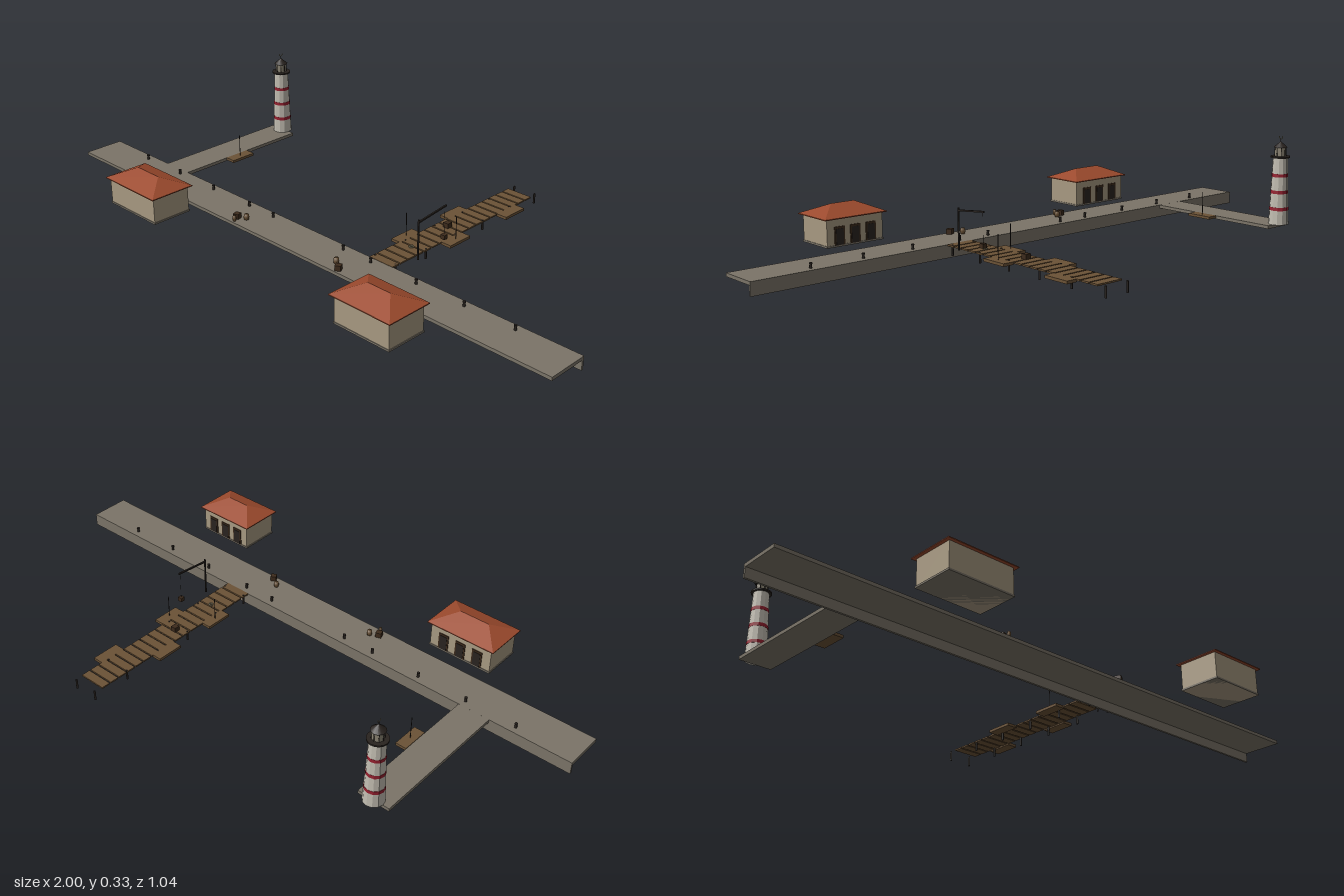
import * as THREE from 'three';

const mat = (name, color, extra = {}) => {
  const m = new THREE.MeshStandardMaterial({ color, ...extra });
  m.name = name;
  return m;
};

export function createModel() {
  const stone = mat('stone', 0x7b7468);
  const plaster = mat('plaster', 0xa89a82);
  const tile = mat('roofTile', 0x9c4a2d);
  const wood = mat('wood', 0x6b5236);
  const darkWood = mat('darkWood', 0x3d2b1c);
  const iron = mat('iron', 0x29231f);
  const white = mat('paleTower', 0xc2bdb1, { flatShading: true });
  const red = mat('redBand', 0x96202f, { flatShading: true });
  const glass = mat('lanternGlass', 0x8c8574, { flatShading: true });
  const brass = mat('brass', 0x8d8468);

  const root = new THREE.Group();
  root.name = 'harbour';
  const TOP = 0.042; // ground level of quay, houses and deck

  const add = (parent, name, geo, material, x, y, z) => {
    const m = new THREE.Mesh(geo, material);
    m.name = name;
    m.position.set(x, y, z);
    parent.add(m);
    return m;
  };
  const box = (parent, name, material, w, h, d, x, y, z) =>
    add(parent, name, new THREE.BoxGeometry(w, h, d), material, x, y, z);
  const cyl = (parent, name, material, rTop, rBottom, y0, y1, x, z, sides = 8) =>
    add(parent, name, new THREE.CylinderGeometry(rTop, rBottom, y1 - y0, sides), material, x, (y0 + y1) / 2, z);
  const group = (name, x = 0, y = 0, z = 0) => {
    const g = new THREE.Group();
    g.name = name;
    g.position.set(x, y, z);
    root.add(g);
    return g;
  };

  // Quay: thin slab with a retaining wall along the water side
  box(root, 'quaySlab', stone, 2, 0.011, 0.136, 0, 0.0365, 0.24);
  box(root, 'quayWall', stone, 2, TOP, 0.007, 0, TOP / 2, 0.1745);
  // Mole leading to the lighthouse
  box(root, 'mole', stone, 0.108, 0.011, 0.49, -0.667, 0.0364, -0.071);

  // Bollards along the quay edge, mirrored about the centre
  for (const x of [0.155, 0.268, 0.446, 0.622, 0.798])
    for (const s of [-1, 1]) {
      cyl(root, 'bollard', iron, 0.0035, 0.0045, TOP, 0.055, s * x, 0.195);
      cyl(root, 'bollardCap', iron, 0.005, 0.005, 0.054, 0.058, s * x, 0.195);
    }

  // Lighthouse: tapered tower in alternating pale and red rings
  const tower = group('lighthouse', -0.667, 0, -0.315);
  const radiusAt = y => 0.033 - 0.009 * (y - TOP) / 0.222;
  const levels = [TOP, 0.089, 0.1, 0.145, 0.156, 0.2, 0.211, 0.264];
  for (let i = 0; i < levels.length - 1; i++) {
    const band = i % 2 === 1, e = band ? 0.0006 : 0;
    cyl(tower, band ? 'towerBand' : 'towerWall', band ? red : white,
      radiusAt(levels[i + 1]) + e, radiusAt(levels[i]) + e, levels[i], levels[i + 1], 0, 0, 12);
  }
  cyl(tower, 'gallery', iron, 0.032, 0.032, 0.263, 0.268, 0, 0, 16);
  cyl(tower, 'lantern', glass, 0.018, 0.018, 0.268, 0.298, 0, 0, 8);
  for (let i = 0; i < 8; i++) {
    const a = i * Math.PI / 4;
    cyl(tower, 'lanternBar', iron, 0.0015, 0.0015, 0.268, 0.298, Math.sin(a) * 0.018, Math.cos(a) * 0.018, 4);
  }
  cyl(tower, 'lanternRoof', iron, 0.001, 0.023, 0.297, 0.316, 0, 0, 12);
  cyl(tower, 'finial', iron, 0.001, 0.001, 0.314, 0.325, 0, 0, 5);
  const arc = 1.35 * Math.PI;
  const crescentGeo = new THREE.TorusGeometry(0.0065, 0.0011, 5, 16, arc);
  crescentGeo.rotateZ(-Math.PI / 2 - arc / 2).rotateY(Math.PI / 2);
  add(tower, 'crescent', crescentGeo, brass, 0, 0.3305, 0);

  // Hipped roof: rectangular eave rising to a short ridge
  const hipRoof = (w, d, h) => {
    const a = [-w / 2, 0, d / 2], b = [w / 2, 0, d / 2], c = [w / 2, 0, -d / 2], e = [-w / 2, 0, -d / 2];
    const r = (w - 0.14) / 2, p = [-r, h, 0], q = [r, h, 0];
    const tris = [a, b, q, a, q, p, b, c, q, c, e, p, c, p, q, e, a, p, a, e, c, a, c, b];
    const g = new THREE.BufferGeometry();
    g.setAttribute('position', new THREE.Float32BufferAttribute(tris.flat(), 3));
    g.computeVertexNormals();
    return g;
  };

  // Two houses with their doors towards the water
  for (const [x, z, w] of [[-0.489, 0.42, 0.222], [0.532, 0.441, 0.2]]) {
    const house = group('house', x, TOP, z);
    const d = 0.134;
    box(house, 'plinth', stone, w + 0.004, 0.006, d + 0.004, 0, 0.003, 0);
    box(house, 'houseWalls', plaster, w, 0.09, d, 0, 0.045, 0);
    box(house, 'eave', tile, w + 0.022, 0.003, 0.155, 0, 0.0885, 0);
    add(house, 'hipRoof', hipRoof(w + 0.022, 0.155, 0.032), tile, 0, 0.09, 0);
    for (const i of [-1, 0, 1]) {
      box(house, 'doorFrame', darkWood, 0.036, 0.058, 0.003, i * w * 0.28, 0.034, -d / 2 - 0.001);
      box(house, 'doorOpening', iron, 0.026, 0.05, 0.003, i * w * 0.28, 0.031, -d / 2 - 0.002);
    }
  }

  // Wooden pier: separate planks on paired piles
  const pier = group('pier', 0.287, 0, 0);
  const planks = 19, pitch = 0.665 / planks;
  for (let i = 0; i < planks; i++)
    box(pier, 'plank', wood, 0.092, 0.005, pitch - 0.005, 0, 0.0405, 0.175 - (i + 0.5) * pitch);
  for (let i = 0; i < 6; i++)
    for (const s of [-1, 1])
      cyl(pier, 'pile', iron, 0.0035, 0.0035, 0.01, 0.044, s * 0.041, 0.153 - i * 0.1335, 6);

  // Moored flat boats, some with a mast
  for (const [x, z, mast] of [[0.35, -0.36, 0], [0.228, -0.227, 0], [0.35, -0.092, 1],
    [0.228, -0.003, 1], [-0.594, -0.047, 1]]) {
    const boat = group('boat', x, 0, z);
    box(boat, 'hull', wood, 0.037, 0.009, 0.092, 0, 0.0385, 0);
    if (mast) cyl(boat, 'mast', iron, 0.0012, 0.0012, 0.04, 0.12, 0, 0, 5);
  }

  // Crane: post, inclined boom, rope and hanging load
  const crane = group('crane', 0.355, 0, 0);
  cyl(crane, 'cranePost', iron, 0.003, 0.003, TOP, 0.173, 0, 0.086, 6);
  const boom = box(crane, 'craneBoom', iron, 0.005, 0.005, 0.124, 0, 0.171, 0.026);
  boom.rotation.x = Math.atan2(0.013, 0.122);
  cyl(crane, 'craneRope', iron, 0.0005, 0.0005, 0.08, 0.177, 0, -0.03, 4);
  box(crane, 'craneLoad', darkWood, 0.015, 0.014, 0.015, 0, 0.076, -0.03);

  // Crates and barrels on the quay and pier
  for (const [x, z, turn] of [[-0.231, 0.278, 0.3], [0.232, 0.292, 0.5], [0.28, -0.135, 0]]) {
    const crate = box(root, 'crate', darkWood, 0.019, 0.017, 0.019, x, TOP + 0.0085, z);
    crate.rotation.y = turn;
  }
  for (const [x, z] of [[-0.203, 0.264], [0.199, 0.268], [-0.222, 0.297]]) {
    const r = z > 0.29 ? 0.006 : 0.009;
    const profile = [[0, 0], [r * 0.8, 0], [r, 0.009], [r * 0.8, 0.018], [0, 0.018]];
    add(root, 'barrel', new THREE.LatheGeometry(profile.map(p => new THREE.Vector2(...p)), 10),
      wood, x, TOP, z);
  }
  // Rope coil on the pier
  const coil = add(root, 'ropeCoil', new THREE.TorusGeometry(0.006, 0.0025, 6, 12), brass, 0.29, 0.0455, 0.042);
  coil.rotation.x = Math.PI / 2;

  return root;
}
